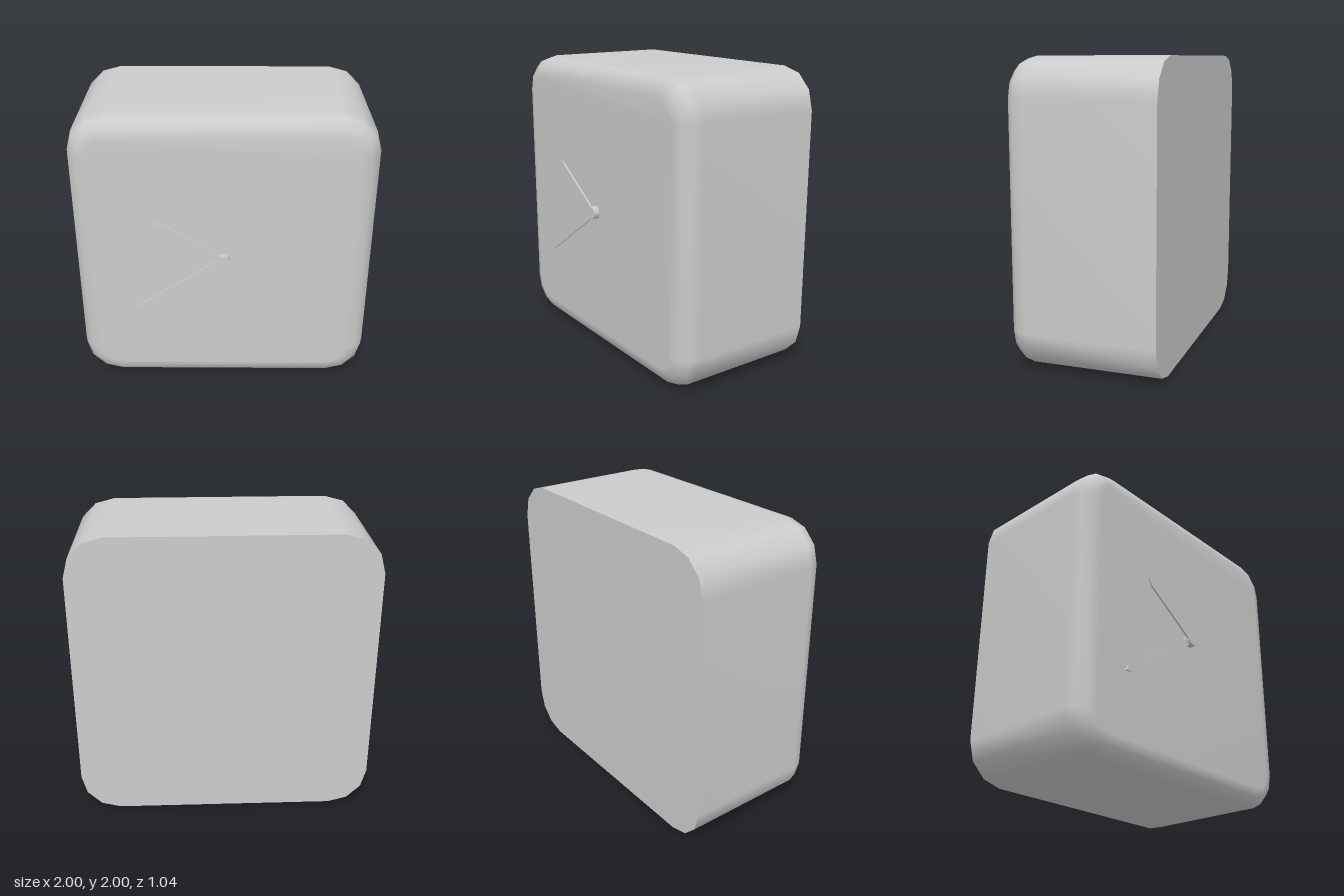
import * as THREE from 'three';

const BACK = -0.52, FRONT = 0.477, CORNER = 0.26, BEVEL = 0.133, STEPS = 3;

// Rounded-square outline, counter-clockwise seen from the front
function outline(inset) {
  const r = CORNER - inset, c = 1 - CORNER, pts = [];
  for (let q = 0; q < 4; q++) {
    const sx = q === 0 || q === 3 ? 1 : -1, sy = q < 2 ? 1 : -1;
    for (let i = 0; i <= STEPS; i++) {
      const a = (q + i / STEPS) * Math.PI / 2;
      pts.push([sx * c + r * Math.cos(a), sy * c + r * Math.sin(a)]);
    }
  }
  return pts;
}

// Side wall, rolled front edge and face as one smooth skin
function caseGeometry() {
  const rings = [[0, BACK]];
  for (let i = 0; i <= STEPS; i++) {
    const a = i / STEPS * Math.PI / 2;
    rings.push([BEVEL * (1 - Math.cos(a)), FRONT - BEVEL * (1 - Math.sin(a))]);
  }
  const pos = [], idx = [], n = 4 * (STEPS + 1);
  for (const [inset, z] of rings) for (const [x, y] of outline(inset)) pos.push(x, y, z);
  for (let k = 0; k < rings.length - 1; k++) {
    for (let i = 0; i < n; i++) {
      const j = (i + 1) % n, a = k * n + i, b = k * n + j;
      idx.push(a, b, b + n, a, b + n, a + n);
    }
  }
  const last = (rings.length - 1) * n;
  for (let i = 1; i < n - 1; i++) idx.push(last, last + i, last + i + 1);
  const g = new THREE.BufferGeometry();
  g.setAttribute('position', new THREE.Float32BufferAttribute(pos, 3));
  g.setIndex(idx);
  g.computeVertexNormals();
  return g;
}

// Thin bar with a pointed tip, lying along +x
function handGeometry(length, shoulder, halfWidth, depth) {
  const s = new THREE.Shape([
    [0, -halfWidth], [shoulder, -halfWidth], [length, 0], [shoulder, halfWidth], [0, halfWidth],
  ].map(([x, y]) => new THREE.Vector2(x, y)));
  return new THREE.ExtrudeGeometry(s, { depth, bevelEnabled: false });
}

export function createModel() {
  const group = new THREE.Group();
  const material = new THREE.MeshStandardMaterial({ color: 0xcccccc });
  const add = (name, geometry, x = 0, y = 1, z = 0) => {
    const mesh = new THREE.Mesh(geometry, material);
    mesh.name = name;
    mesh.position.set(x, y, z);
    group.add(mesh);
    return mesh;
  };

  // Clock case with a flat, sharp-edged back
  add('clockCase', caseGeometry());
  const back = new THREE.ShapeGeometry(
    new THREE.Shape(outline(0).map(([x, y]) => new THREE.Vector2(x, y))));
  add('backPanel', back.rotateY(Math.PI), 0, 1, BACK);

  // Hands, stacked in front of the face
  const minute = add('minuteHand', handGeometry(0.78, 0.737, 0.022, 0.011), 0, 1, 0.486);
  minute.rotation.z = Math.PI + Math.atan2(0.436, 0.647);
  const hour = add('hourHand', handGeometry(0.524, 0.485, 0.023, 0.012), 0, 1, 0.5);
  hour.rotation.z = Math.PI - Math.atan2(0.286, 0.439);

  // Centre hub holding the hands
  const hub = new THREE.CylinderGeometry(0.045, 0.045, 0.52 - FRONT, 10).rotateX(Math.PI / 2);
  add('centreHub', hub, 0, 1, (0.52 + FRONT) / 2);

  return group;
}
